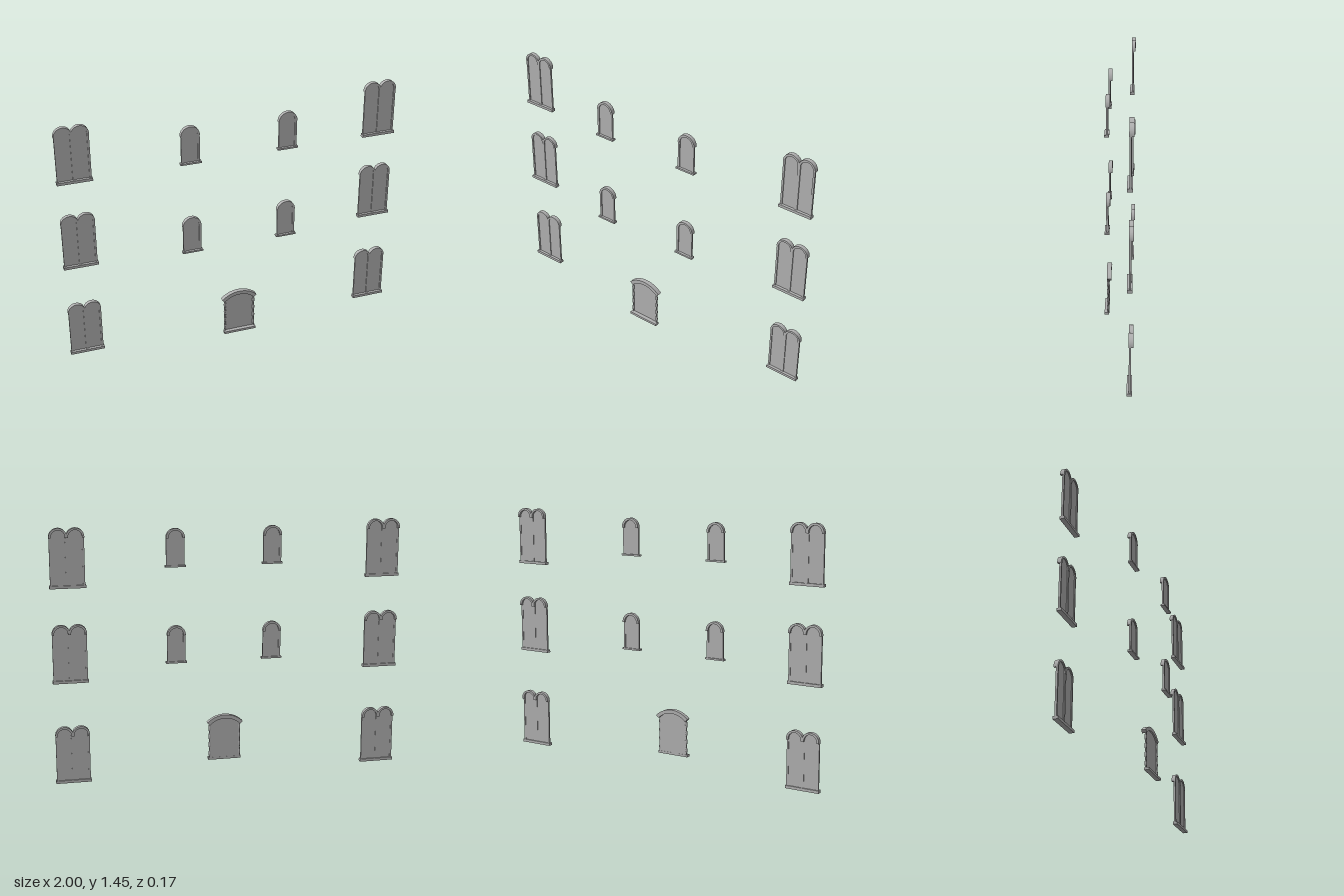
import * as THREE from 'three';

const stone = new THREE.MeshStandardMaterial({ color: 0xb0b0b0 });
stone.name = 'stoneGrey';

function add(group, geometry, name) {
  const mesh = new THREE.Mesh(geometry, stone);
  mesh.name = name;
  group.add(mesh);
  return mesh;
}

// Box given by its ranges
function box(group, name, x0, x1, y0, y1, z0, z1) {
  add(group, new THREE.BoxGeometry(x1 - x0, y1 - y0, z1 - z0), name)
    .position.set((x0 + x1) / 2, (y0 + y1) / 2, (z0 + z1) / 2);
}

// Flat outline extruded between z0 and z1
function slab(group, name, shape, z0, z1) {
  const geometry = new THREE.ExtrudeGeometry(shape, { depth: z1 - z0, bevelEnabled: false, curveSegments: 20 });
  geometry.translate(0, 0, z0);
  add(group, geometry, name);
}

// Pane with a round head
function archPane(cx, r, y0, cy) {
  const s = new THREE.Shape();
  s.moveTo(cx - r, y0);
  s.lineTo(cx + r, y0);
  s.lineTo(cx + r, cy);
  s.absarc(cx, cy, r, 0, Math.PI, false);
  s.closePath();
  return s;
}

// Round hood with short straight feet
function archHood(r, inner, foot, cy) {
  const s = new THREE.Shape();
  s.moveTo(r, foot);
  s.lineTo(r, cy);
  s.absarc(0, cy, r, 0, Math.PI, false);
  s.lineTo(-r, foot);
  s.lineTo(-inner, foot);
  s.lineTo(-inner, cy);
  s.absarc(0, cy, inner, Math.PI, 0, true);
  s.lineTo(inner, foot);
  s.closePath();
  return s;
}

// Two hoods joined over the mullion
function twinHood(c, r, inner, foot, cy) {
  const a = Math.acos(c / r);
  const s = new THREE.Shape();
  s.moveTo(c + r, foot);
  s.lineTo(c + r, cy);
  s.absarc(c, cy, r, 0, Math.PI - a, false);
  s.absarc(-c, cy, r, a, Math.PI, false);
  s.lineTo(-c - r, foot);
  for (const x of [-c, c]) {
    s.lineTo(x - inner, foot);
    s.lineTo(x - inner, cy);
    s.absarc(x, cy, inner, Math.PI, 0, true);
    s.lineTo(x + inner, foot);
  }
  s.closePath();
  return s;
}

function twinWindow() {
  const g = new THREE.Group();
  g.name = 'twinWindow';
  const c = 0.0465, r = 0.05, inner = 0.038, foot = 0.278, cy = 0.283;
  box(g, 'sill', -0.1, 0.1, 0, 0.016, -0.017, 0.011);
  for (const x of [-c, c]) slab(g, 'pane', archPane(x, inner + 0.001, 0.015, cy), -0.009, -0.005);
  for (const side of [-1, 1]) {
    const a = side * (c + inner), b = side * (c + r - 0.001);
    box(g, 'jamb', Math.min(a, b), Math.max(a, b), 0.016, foot, -0.011, 0);
  }
  box(g, 'mullion', inner - c, c - inner, 0.016, foot, -0.011, 0);
  slab(g, 'hood', twinHood(c, r, inner, foot, cy), -0.023, 0.001);
  return g;
}

function smallWindow() {
  const g = new THREE.Group();
  g.name = 'smallWindow';
  const r = 0.054, inner = 0.041, foot = 0.165, cy = 0.168;
  box(g, 'sill', -0.06, 0.06, 0, 0.01, -0.018, 0.008);
  slab(g, 'pane', archPane(0, inner + 0.001, 0.009, cy), -0.01, -0.006);
  box(g, 'jamb', -r + 0.001, -inner, 0.01, foot, -0.012, -0.001);
  box(g, 'jamb', inner, r - 0.001, 0.01, foot, -0.012, -0.001);
  slab(g, 'hood', archHood(r, inner, foot, cy), -0.023, 0);
  return g;
}

function wideWindow() {
  const g = new THREE.Group();
  g.name = 'wideWindow';
  const cy = 0.126, R = 0.15, inner = 0.128, a0 = Math.PI / 4, a1 = Math.PI - a0;
  box(g, 'sill', -0.098, 0.098, 0, 0.014, -0.012, 0.015);

  // Pane under a shallow arch
  const pane = new THREE.Shape();
  const w = 0.089, pa = Math.acos(w / (inner + 0.001));
  pane.moveTo(-w, 0.013);
  pane.lineTo(w, 0.013);
  pane.absarc(0, cy, inner + 0.001, pa, Math.PI - pa, false);
  pane.closePath();
  slab(g, 'pane', pane, -0.011, -0.008);

  // Turned side columns with a wavy outline
  const profile = [];
  for (let i = 0; i <= 32; i++) {
    const t = i / 32;
    profile.push(new THREE.Vector2(0.0058 - 0.0014 * Math.cos(t * Math.PI * 8), 0.014 + t * 0.207));
  }
  for (const side of [-1, 1]) {
    add(g, new THREE.LatheGeometry(profile, 12), 'column').position.set(side * 0.089, 0, -0.006);
  }

  // Segmental hood with radial ends
  const hood = new THREE.Shape();
  hood.absarc(0, cy, R, a0, a1, false);
  hood.absarc(0, cy, inner, a1, a0, true);
  hood.closePath();
  slab(g, 'hood', hood, -0.026, 0.001);
  return g;
}

export function createModel() {
  const model = new THREE.Group();
  model.name = 'facadeWindows';
  const place = (g, x, y, z) => {
    g.position.set(x, y, z);
    model.add(g);
  };
  for (const side of [-1, 1]) {
    for (const y of [0, 0.584, 1.12]) place(twinWindow(), side * 0.9, y, -0.063);
    for (const y of [0.633, 1.193]) place(smallWindow(), side * 0.282, y, 0.069);
  }
  place(wideWindow(), -0.002, 0.03, 0.072);
  return model;
}
